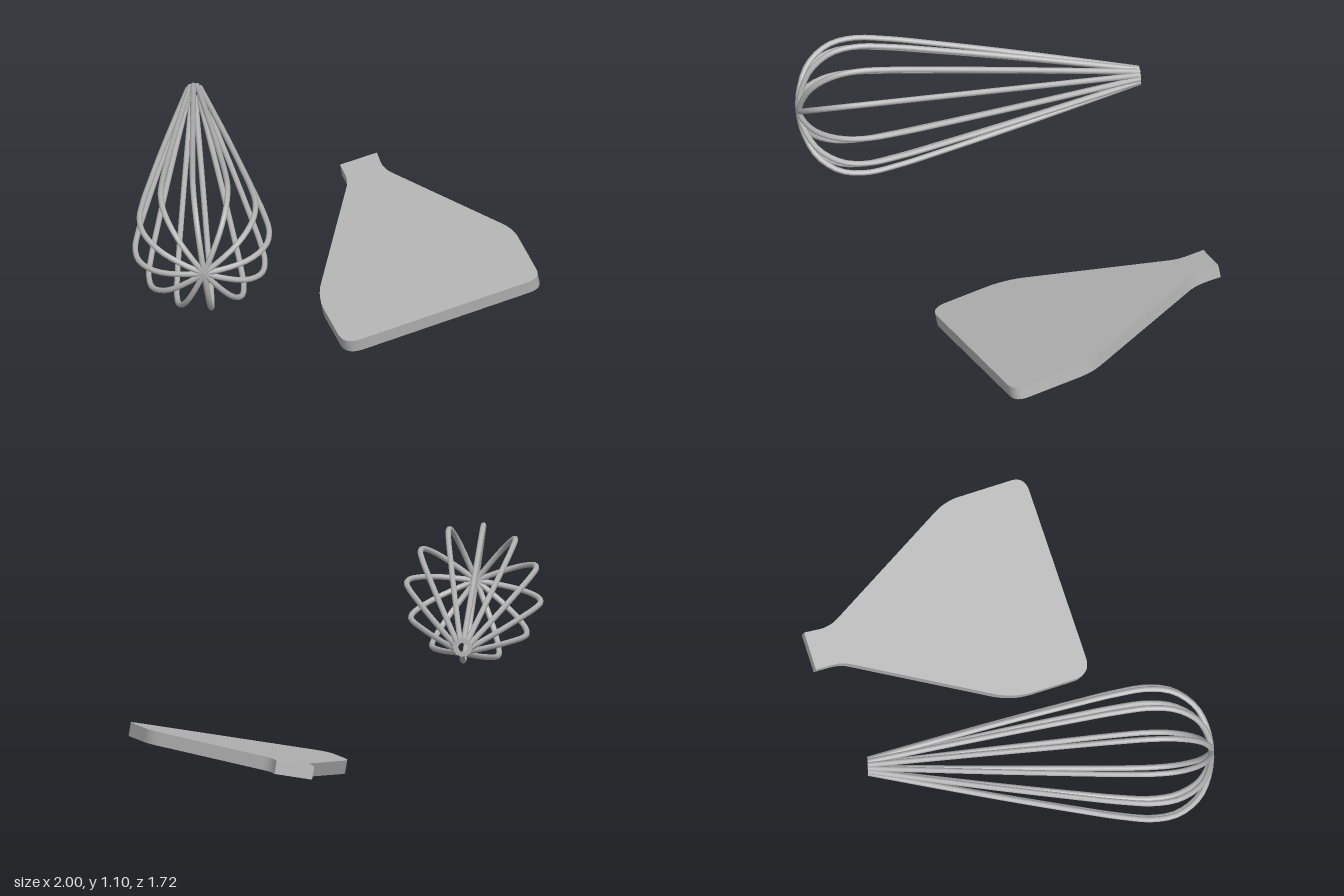
import * as THREE from 'three';

const steel = new THREE.MeshStandardMaterial({ color: 0xb3b3b3 });
steel.name = 'brushed steel';

// Balloon whisk: six wire loops crossing at the tip, open at the handle end
function createWhisk() {
  const whisk = new THREE.Group();
  whisk.name = 'whisk';
  const wireRadius = 0.0135;
  const start = new THREE.Vector3(-0.44, 0.81, -0.755);
  const tip = new THREE.Vector3(-0.715, 0.77, 0.838);

  // half profile of one loop: [distance from axis, distance along axis]
  const profile = [
    [0.033, 0], [0.105, 0.3], [0.18, 0.62], [0.255, 0.96], [0.298, 1.17],
    [0.318, 1.33], [0.297, 1.45], [0.22, 1.55], [0.115, 1.6],
  ];
  const loop = [
    ...profile.map(([r, s]) => new THREE.Vector3(r, 0, s)),
    new THREE.Vector3(0, 0, 1.617),
    ...profile.slice().reverse().map(([r, s]) => new THREE.Vector3(-r, 0, s)),
  ];
  const wireGeometry = new THREE.TubeGeometry(
    new THREE.CatmullRomCurve3(loop), 88, wireRadius, 10);
  const capGeometry = new THREE.CircleGeometry(wireRadius, 10);

  for (let i = 0; i < 6; i++) {
    const wire = new THREE.Group();
    wire.name = 'wireLoop' + (i + 1);
    wire.rotation.z = THREE.MathUtils.degToRad(8 + i * 30);
    wire.add(new THREE.Mesh(wireGeometry, steel));
    wire.children[0].name = 'wire';
    for (const side of [-1, 1]) {
      const cap = new THREE.Mesh(capGeometry, steel);
      cap.name = 'wireEnd';
      cap.position.x = side * profile[0][0];
      cap.rotation.y = Math.PI;
      wire.add(cap);
    }
    whisk.add(wire);
  }

  // aim the whisk's local z along its axis, keeping its y close to up
  const axis = tip.clone().sub(start).normalize();
  const across = new THREE.Vector3(0, 1, 0).cross(axis).normalize();
  const up = axis.clone().cross(across);
  whisk.quaternion.setFromRotationMatrix(
    new THREE.Matrix4().makeBasis(across, up, axis));
  whisk.position.copy(start);
  return whisk;
}

// Closed shape from corners [x, z, rounding]
function roundedOutline(corners) {
  const shape = new THREE.Shape();
  const points = corners.map(([x, z]) => new THREE.Vector2(x, -z));
  const n = points.length;
  const toward = (from, to, d) =>
    to.clone().sub(from).setLength(d).add(from);
  points.forEach((p, i) => {
    const r = corners[i][2];
    const a = r ? toward(p, points[(i + n - 1) % n], r) : p;
    if (i === 0) shape.moveTo(a.x, a.y);
    else shape.lineTo(a.x, a.y);
    if (r) {
      const b = toward(p, points[(i + 1) % n], r);
      shape.quadraticCurveTo(p.x, p.y, b.x, b.y);
    }
  });
  shape.closePath();
  return shape;
}

// Scraper blade: a flat plate with a short neck, tilted in space
function createBlade() {
  const outline = roundedOutline([
    [0.275, -0.84, 0], [0.288, -0.71, 0.045], [-0.013, 0.05, 0.1],
    [0.038, 0.435, 0.085], [1.003, 0.335, 0.07], [0.95, -0.06, 0.07],
    [0.461, -0.73, 0.055], [0.455, -0.855, 0],
  ]);
  const thickness = 0.064;
  const geometry = new THREE.ExtrudeGeometry(outline, {
    depth: thickness, bevelEnabled: false, curveSegments: 8,
  });

  // top face lies on y = height + slopeX * x + slopeZ * z
  const height = 0.11, slopeX = 0.19, slopeZ = -0.137;
  const normal = new THREE.Vector3(-slopeX, 1, -slopeZ).normalize();
  const matrix = new THREE.Matrix4().makeBasis(
    new THREE.Vector3(1, slopeX, 0), new THREE.Vector3(0, -slopeZ, -1), normal);
  matrix.setPosition(normal.clone().multiplyScalar(-thickness).setY(
    height - normal.y * thickness));
  geometry.applyMatrix4(matrix);
  geometry.computeVertexNormals();

  const blade = new THREE.Mesh(geometry, steel);
  blade.name = 'scraperBlade';
  return blade;
}

export function createModel() {
  const model = new THREE.Group();
  model.name = 'kitchenTools';
  model.add(createWhisk(), createBlade());
  return model;
}
